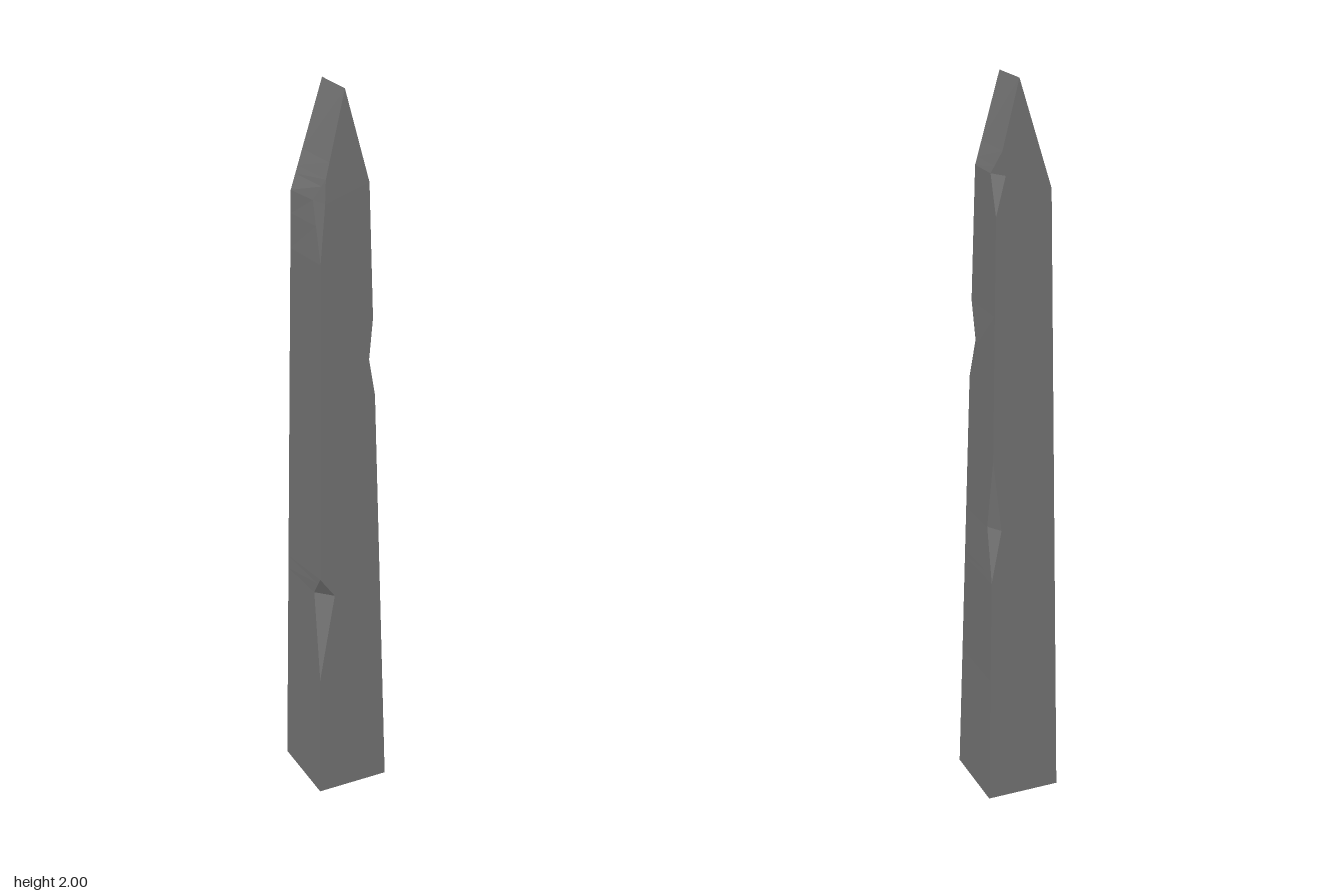
import * as THREE from 'three';

// Piecewise-linear lookup: keys are [y, ...values], clamped at both ends
function sample(keys, y) {
  if (y <= keys[0][0]) return keys[0].slice(1);
  for (let i = 1; i < keys.length; i++) {
    const a = keys[i - 1], b = keys[i];
    if (y <= b[0]) {
      const t = (y - a[0]) / (b[0] - a[0]);
      return a.slice(1).map((v, k) => v + (b[k + 1] - v) * t);
    }
  }
  return keys[keys.length - 1].slice(1);
}

// Four corner edges: path keys [y, x, z], chip keys [y, cut along x, cut along z]
const corners = [
  { // front left of the frame (-x, +z)
    path: [[0, -0.097, 0.105], [1.73, -0.068, 0.062], [2, 0, 0.052]],
    chips: [[0.38, 0, 0], [0.64, 0.043, 0.04], [0.7, 0, 0],
      [1.58, 0, 0], [1.73, 0.012, 0.045], [1.79, 0, 0]],
  },
  { // front right (+x, +z)
    path: [[0, 0.11, 0.105], [1.77, 0.062, 0.061], [2, 0, 0.052]],
    chips: [[1.21, 0, 0], [1.31, 0.014, 0.045], [1.42, 0, 0]],
  },
  { // back right (+x, -z)
    path: [[0, 0.097, -0.106], [1.77, 0.06, -0.081], [2, 0, -0.078]],
    chips: [[0.68, 0, 0], [0.83, 0.026, 0.038], [1.03, 0, 0],
      [1.67, 0, 0], [1.77, 0.024, 0.04], [1.83, 0, 0]],
  },
  { // back left (-x, -z)
    path: [[0, -0.11, -0.106], [1.73, -0.084, -0.082], [2, 0, -0.078]],
    chips: [[0, 0, 0]],
  },
];

// Eight-point cross-section: each corner is split in two where it is chipped
function section(y) {
  const ring = [];
  corners.forEach(({ path, chips }, i) => {
    const [x, z] = sample(path, y);
    const [cx, cz] = sample(chips, y);
    const sx = i === 1 || i === 2 ? 1 : -1, sz = i < 2 ? 1 : -1;
    const alongX = new THREE.Vector3(x - sx * cx, y, z);
    const alongZ = new THREE.Vector3(x, y, z - sz * cz);
    ring.push(...(i % 2 === 0 ? [alongZ, alongX] : [alongX, alongZ]));
  });
  return ring;
}

function buildShaft() {
  const levels = [...new Set([0, 2, ...corners.flatMap((c) =>
    [...c.path, ...c.chips].map((k) => k[0]))])].sort((a, b) => a - b);
  const rings = levels.map(section);
  const positions = [];
  const triangle = (a, b, c) => {
    const area = b.clone().sub(a).cross(c.clone().sub(a)).length();
    if (area > 1e-8) [a, b, c].forEach((p) => positions.push(p.x, p.y, p.z));
  };

  // Walls
  for (let i = 0; i < rings.length - 1; i++) {
    for (let j = 0; j < 8; j++) {
      const k = (j + 1) % 8;
      const a = rings[i][j], b = rings[i][k], c = rings[i + 1][k], d = rings[i + 1][j];
      triangle(a, b, c);
      triangle(a, c, d);
    }
  }
  // Underside
  const base = rings[0];
  for (let j = 1; j < 7; j++) triangle(base[0], base[j + 1], base[j]);

  const geometry = new THREE.BufferGeometry();
  geometry.setAttribute('position', new THREE.Float32BufferAttribute(positions, 3));
  geometry.computeVertexNormals();
  return geometry;
}

export function createModel() {
  const group = new THREE.Group();
  group.name = 'obelisk';
  const stone = new THREE.MeshStandardMaterial({ color: 0x737373, flatShading: true });
  stone.name = 'greyStone';
  const shaft = new THREE.Mesh(buildShaft(), stone);
  shaft.name = 'chippedShaft';
  group.add(shaft);
  return group;
}
